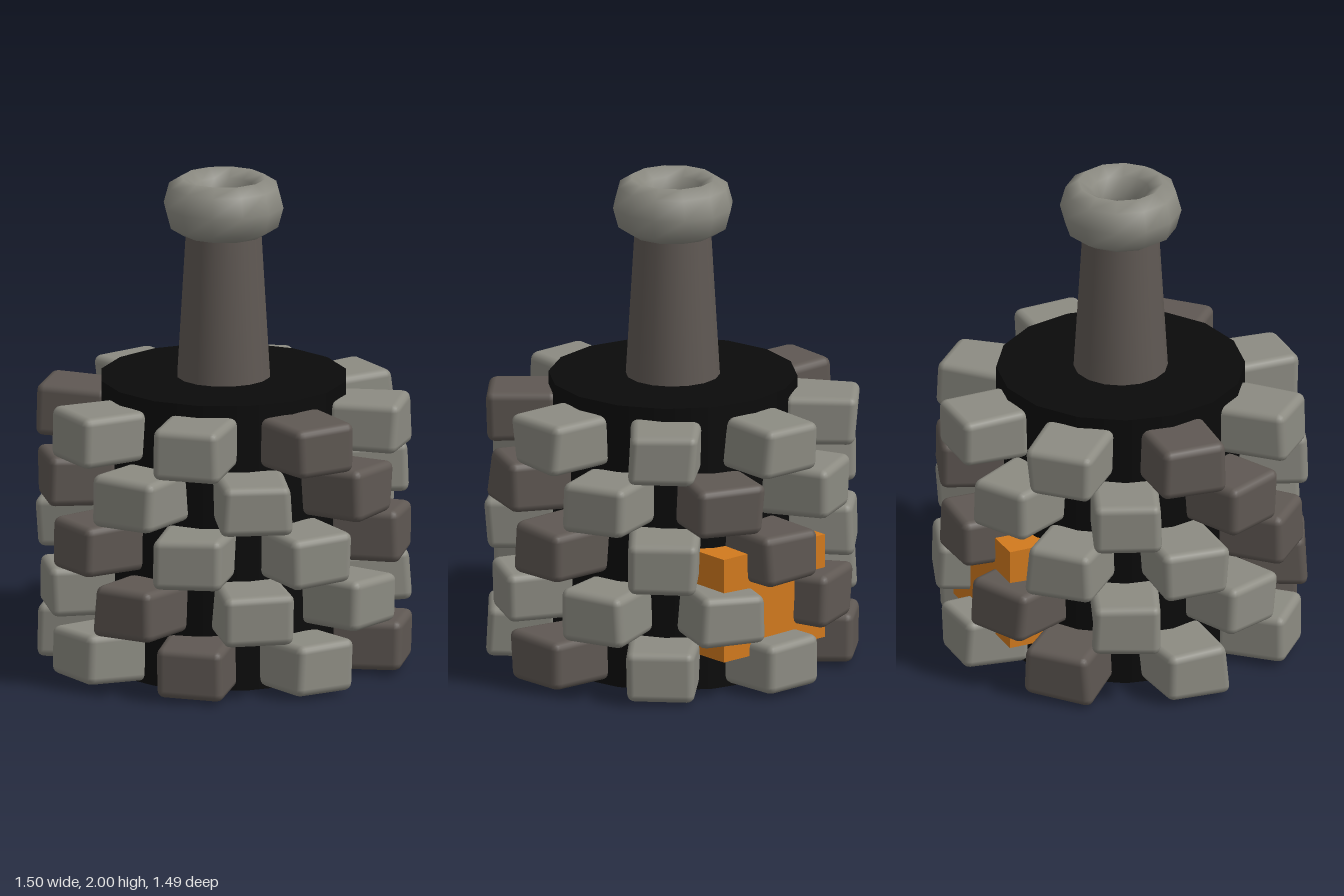
import * as THREE from 'three';
import { RoundedBoxGeometry } from 'three/addons/geometries/RoundedBoxGeometry.js';

const mat = (name, color) => {
  const m = new THREE.MeshStandardMaterial({ color });
  m.name = name;
  return m;
};

// small seeded generator, returns -1..1
function seeded(seed) {
  let s = seed;
  return () => {
    s = (s * 16807) % 2147483647;
    return (s / 2147483647) * 2 - 1;
  };
}

// rounded block whose eight corners are each pushed a little out of place
function stoneGeometry(w, h, d, rand) {
  const g = new RoundedBoxGeometry(w, h, d, 2, 0.032);
  const corners = Array.from({ length: 8 }, () =>
    new THREE.Vector3(rand() * 0.014, rand() * 0.008, rand() * 0.012));
  const p = g.attributes.position;
  const v = new THREE.Vector3();
  for (let i = 0; i < p.count; i++) {
    v.fromBufferAttribute(p, i);
    const a = v.x / w + 0.5, b = v.y / h + 0.5, c = v.z / d + 0.5;
    const moved = v.clone();
    corners.forEach((off, k) => {
      const weight = (k & 1 ? a : 1 - a) * (k & 2 ? b : 1 - b) * (k & 4 ? c : 1 - c);
      moved.addScaledVector(off, weight);
    });
    p.setXYZ(i, moved.x, moved.y, moved.z);
  }
  return g;
}

export function createModel() {
  const model = new THREE.Group();
  model.name = 'stoneFurnace';
  const light = mat('lightStone', 0x8c8b82);
  const dark = mat('darkStone', 0x5f5853);
  const soot = mat('sootBlack', 0x0b0b0b);
  const glow = mat('emberOrange', 0xd27a1e);

  const add = (parent, name, geometry, material, x = 0, y = 0, z = 0) => {
    const mesh = new THREE.Mesh(geometry, material);
    mesh.name = name;
    mesh.position.set(x, y, z);
    parent.add(mesh);
    return mesh;
  };

  // sooty core
  add(model, 'core', new THREE.CylinderGeometry(0.5, 0.5, 1.18, 16), soot, 0, 0.59, 0);

  // tapering chimney with a rounded rim
  add(model, 'chimney', new THREE.CylinderGeometry(0.152, 0.19, 0.64, 16), dark, 0, 1.49, 0);
  const rim = new THREE.TorusGeometry(0.17, 0.075, 8, 12);
  rim.rotateX(Math.PI / 2);
  rim.scale(1, 0.115 / 0.075, 1);
  add(model, 'chimneyRim', rim, light, 0, 1.885, 0);

  // glowing fire box at the back, behind the stones
  add(model, 'fireBox', new THREE.BoxGeometry(0.54, 0.43, 0.2), glow, 0, 0.375, -0.515);

  // five staggered courses of eight stones, L light and D dark, from the front towards +x
  const courses = ['LDLLLDLL', 'LLLLDLLD', 'LLDLDLLD', 'LDLDLLDL', 'LDLLLLDL'];
  courses[0] = 'DLDLLDLL';
  const rand = seeded(4711);
  courses.forEach((row, layer) => {
    const course = new THREE.Group();
    course.name = 'stoneCourse' + (layer + 1);
    model.add(course);
    [...row].forEach((shade, i) => {
      const angle = (i + (layer % 2) / 2) * Math.PI / 4;
      const r = 0.595 + rand() * 0.004;
      const stone = add(course, 'stone', stoneGeometry(0.275, 0.208, 0.29, rand),
        shade === 'D' ? dark : light,
        Math.sin(angle) * r, 0.118 + layer * 0.2265, Math.cos(angle) * r);
      stone.rotation.set(rand() * 0.02, angle + rand() * 0.04, rand() * 0.02, 'YXZ');
    });
  });

  return model;
}
